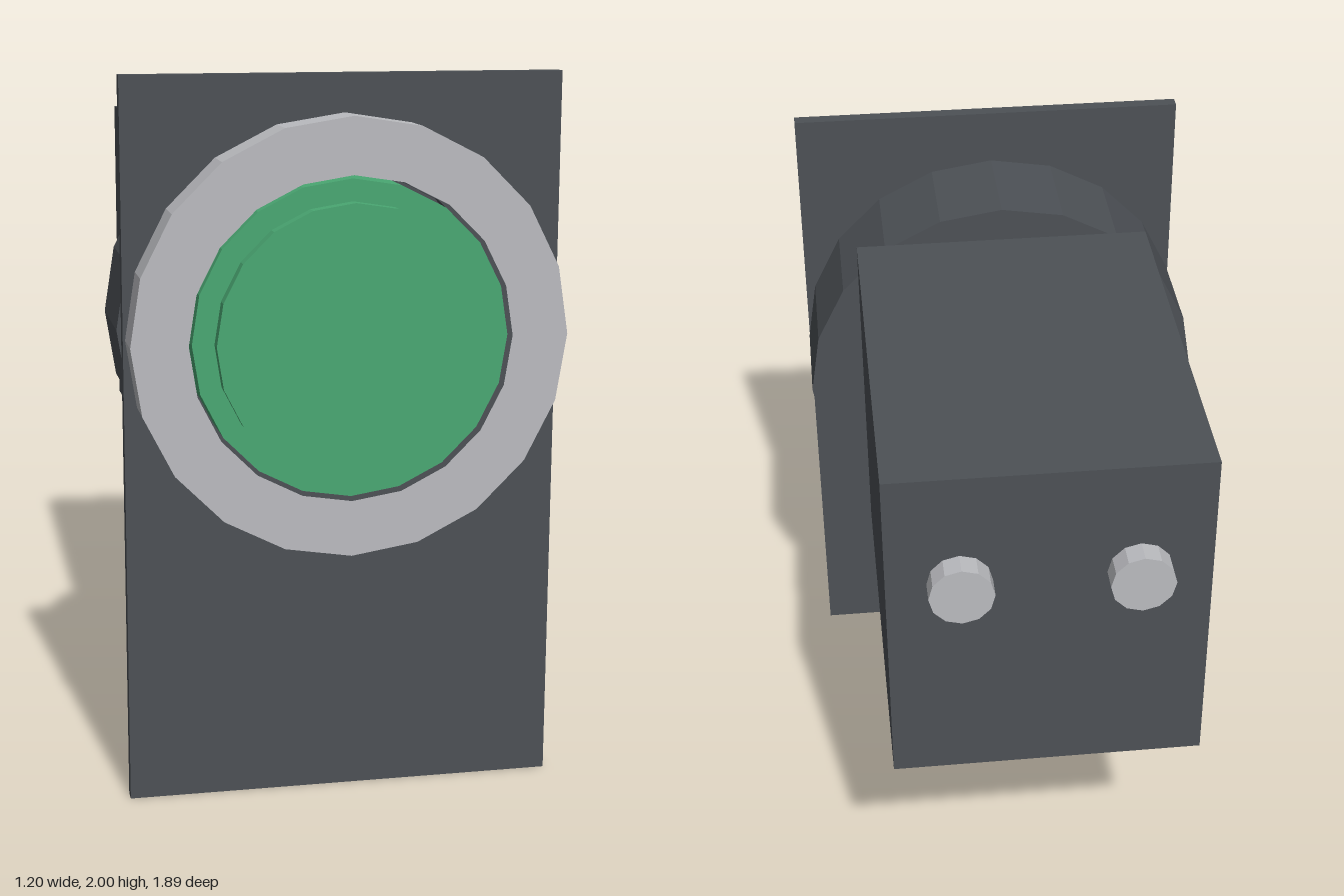
import * as THREE from 'three';

const SIDES = 20;
const AXIS_Y = 1.302; // height of the button axis

// Points of a regular polygon with a corner at the top
function polygon(radius, cy = 0) {
  return Array.from({ length: SIDES }, (_, i) => {
    const a = (i / SIDES) * Math.PI * 2;
    return new THREE.Vector2(Math.sin(a) * radius, cy + Math.cos(a) * radius);
  });
}

export function createModel() {
  const model = new THREE.Group();
  model.name = 'panelPushButton';

  const material = (name, color) => {
    const m = new THREE.MeshStandardMaterial({ color, flatShading: true });
    m.name = name;
    return m;
  };
  const dark = material('darkGrey', 0x4d5156);
  const silver = material('silver', 0xbbbcc0);
  const green = material('green', 0x4aa873);

  const add = (name, geometry, mat, x, y, z) => {
    const mesh = new THREE.Mesh(geometry, mat);
    mesh.name = name;
    mesh.position.set(x, y, z);
    model.add(mesh);
  };

  // Cylinder lying along z, from z0 to z1
  const drum = (name, radius, z0, z1, mat, x = 0, y = AXIS_Y, sides = SIDES) => {
    const g = new THREE.CylinderGeometry(radius, radius, z1 - z0, sides);
    g.rotateX(Math.PI / 2);
    add(name, g, mat, x, y, (z0 + z1) / 2);
  };

  // Flat outline with a round hole, from z0 to z1
  const pierced = (name, outline, holeY, z0, z1, mat, y) => {
    const shape = new THREE.Shape(outline);
    shape.holes.push(new THREE.Path(polygon(0.44, holeY)));
    const g = new THREE.ExtrudeGeometry(shape, { depth: z1 - z0, bevelEnabled: false });
    add(name, g, mat, 0, y, z0);
  };

  // Label plate with the button opening
  const corners = [[-0.6, 0], [0.6, 0], [0.6, 2], [-0.6, 2]].map(([x, y]) => new THREE.Vector2(x, y));
  pierced('mountingPlate', corners, AXIS_Y, 0.76, 0.8, dark, 0);

  // Bezel ring and the two-step button
  pierced('bezelRing', polygon(0.594), 0, 0.8, 0.92, silver, AXIS_Y);
  drum('buttonBase', 0.43, 0.72, 0.905, green);
  drum('buttonCap', 0.37, 0.905, 0.945, green);

  // Collar and housing behind the plate
  drum('collar', 0.6, 0.32, 0.64, dark, 0, 1.3);
  add('housing', new THREE.BoxGeometry(0.875, 1, 1.2), dark, 0, 1.3, -0.28);

  // Terminals on the back
  for (const [name, x] of [['leftTerminal', 0.24], ['rightTerminal', -0.24]]) {
    drum(name, 0.088, -0.945, -0.88, silver, x, 1.465, 12);
  }

  return model;
}
